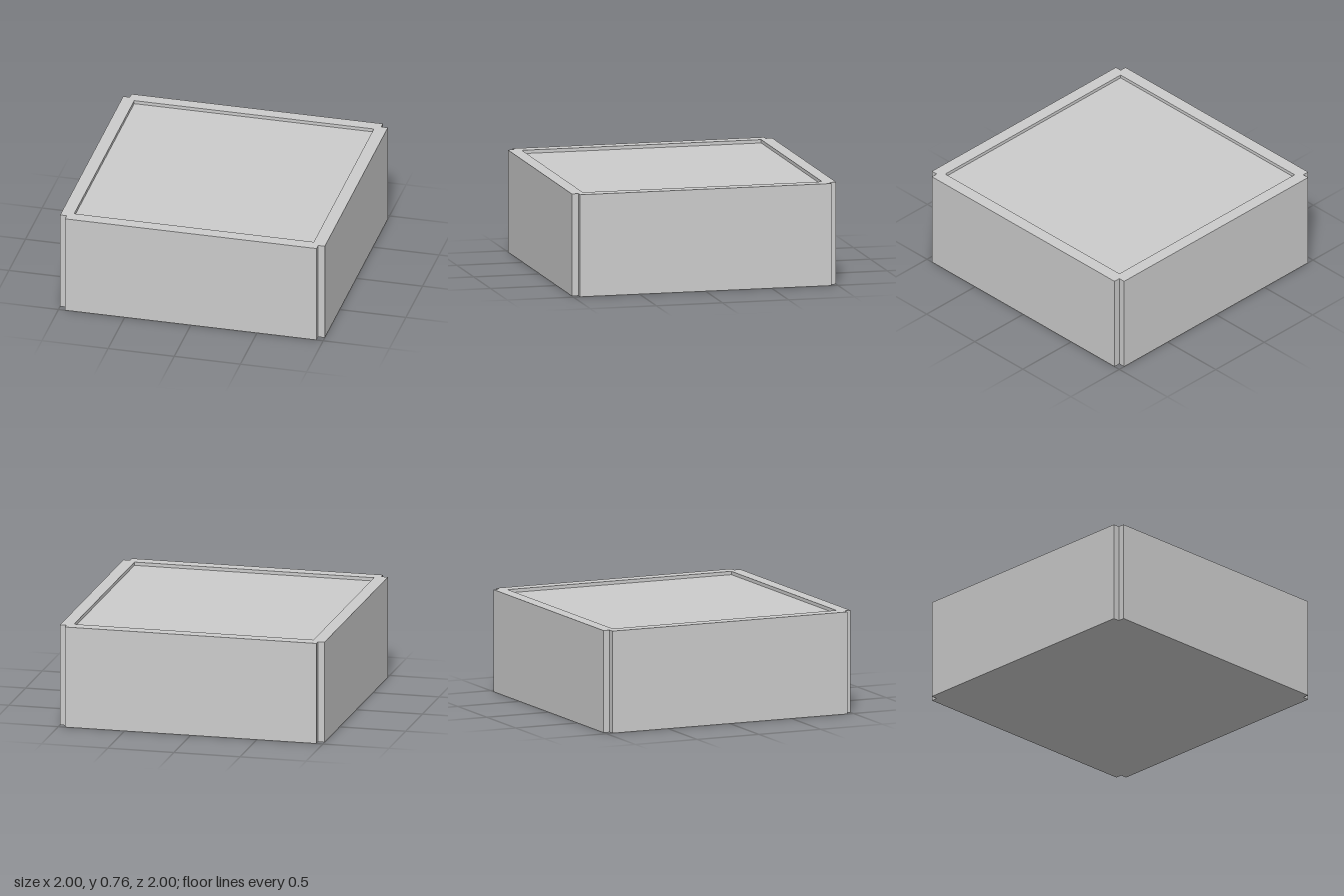
import * as THREE from 'three';

const HEIGHT = 0.76;
const FLOOR = 0.735; // level of the shallow recess on top
const NOTCH = 0.95; // where the corner grooves begin
const INNER = 0.905; // half width of the recess

const material = new THREE.MeshStandardMaterial({ color: 0xcccccc, flatShading: true });

// Flat plate in the ground plane, facing up or down
function plate(shape, y, up = true) {
  return new THREE.ShapeGeometry(shape).rotateX(up ? -Math.PI / 2 : Math.PI / 2).translate(0, y, 0);
}

// Upright faces along a closed outline; counter-clockwise outlines face outward
function wall(points, y0, y1) {
  const positions = [];
  points.forEach((p, i) => {
    const q = points[(i + 1) % points.length];
    const a = [p.x, y0, -p.y], b = [q.x, y0, -q.y], c = [q.x, y1, -q.y], d = [p.x, y1, -p.y];
    positions.push(...a, ...b, ...c, ...a, ...c, ...d);
  });
  const geometry = new THREE.BufferGeometry();
  geometry.setAttribute('position', new THREE.Float32BufferAttribute(positions, 3));
  geometry.computeVertexNormals();
  return geometry;
}

export function createModel() {
  const model = new THREE.Group();
  model.name = 'squareBlock';
  const add = (name, geometry) => {
    const mesh = new THREE.Mesh(geometry, material);
    mesh.name = name;
    model.add(mesh);
  };

  // Square outline with a small notch cut from each corner
  const outline = [];
  const center = new THREE.Vector2();
  for (let i = 0; i < 4; i++) {
    for (const [x, y] of [[1, NOTCH], [NOTCH, NOTCH], [NOTCH, 1]]) {
      outline.push(new THREE.Vector2(x, y).rotateAround(center, i * Math.PI / 2));
    }
  }
  const recess = [[1, 1], [1, -1], [-1, -1], [-1, 1]].map(([x, y]) => new THREE.Vector2(x * INNER, y * INNER));

  const rim = new THREE.Shape(outline);
  rim.holes.push(new THREE.Path(recess));

  add('outerWalls', wall(outline, 0, HEIGHT));
  add('base', plate(new THREE.Shape(outline), 0, false));
  add('rim', plate(rim, HEIGHT));
  add('recessWalls', wall(recess, FLOOR, HEIGHT)); // clockwise, so facing inward
  add('recessFloor', plate(new THREE.Shape(recess), FLOOR));

  return model;
}
